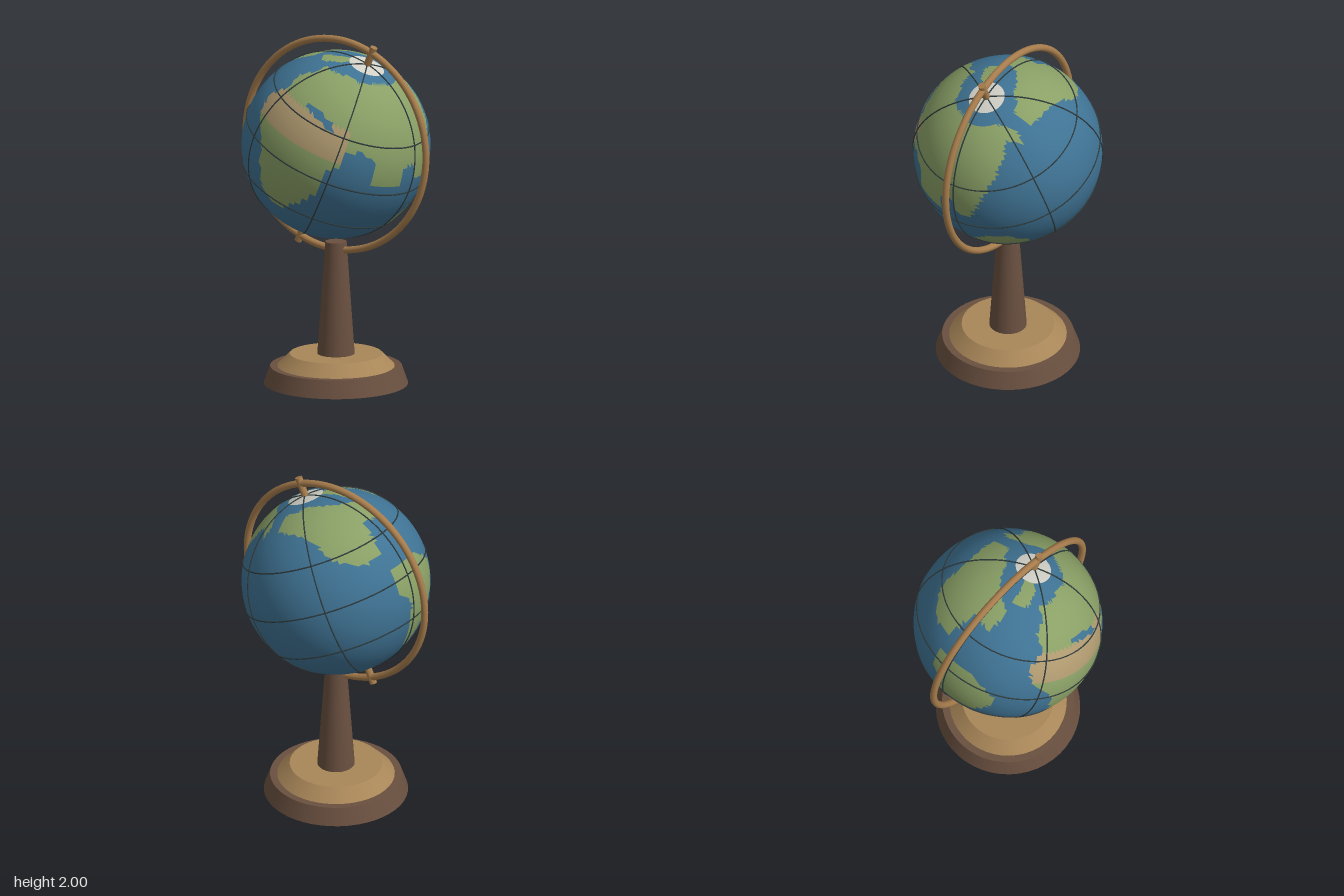
import * as THREE from 'three';

const R = 0.53, CENTER_Y = 1.375, TILT = THREE.MathUtils.degToRad(23.4);

// Coast outlines as [longitude, latitude] in degrees; longitude 0 faces the front, +90 faces +x
const AFRICA = [[-38, 15], [-41, 27], [-33, 36], [-8, 37], [20, 31], [34, 31], [34, 14], [26, 8], [27, -7],
  [16, -24], [5, -34], [-3, -34], [-13, -26], [-18, -9], [-22, 3], [-30, 8]];
const EURASIA = [[-33, 36], [-39, 47], [-33, 58], [-37, 64], [-12, 67], [5, 71], [25, 69], [55, 72], [90, 71],
  [125, 71], [150, 68], [160, 60], [157, 52], [143, 58], [131, 46], [121, 36], [112, 26], [101, 9], [92, 8],
  [88, 20], [80, 16], [78, 5], [57, 5], [55, 21], [44, 25], [34, 22], [20, 32]];
const NORTH_AMERICA = [[-183, 57], [-183, 69], [-150, 72], [-140, 74], [-107, 66], [-84, 59], [-73, 54], [-80, 40],
  [-97, 42], [-101, 21], [-115, 18], [-135, 29], [-142, 42], [-157, 52]];
const SOUTH_AMERICA = [[-101, 9], [-78, 9], [-61, 0], [-55, -6], [-60, -20], [-70, -37], [-86, -54], [-95, -50],
  [-92, -19], [-102, -5]];
const GREENLAND = [[-75, 61], [-54, 63], [-42, 74], [-50, 81], [-78, 81], [-73, 70]];
const AUSTRALIA = [[93, -21], [101, -15], [110, -11], [121, -12], [132, -25], [129, -39], [117, -34], [95, -35]];
const INLAND_SEA = [[-9, 37], [-6, 40], [6, 39], [20, 35], [20, 31], [8, 34]];
const LANDS = [AFRICA, EURASIA, NORTH_AMERICA, SOUTH_AMERICA, GREENLAND, AUSTRALIA];

const COLORS = { ocean: 0x3f7394, land: 0x8aa066, desert: 0xb09a70, ice: 0xcfcfc6 };

const material = (color) => new THREE.MeshStandardMaterial({ color });

function part(name, geometry, mat) {
  const mesh = new THREE.Mesh(geometry, mat);
  mesh.name = name;
  return mesh;
}

function inside(poly, x, y) {
  let hit = false;
  for (let i = 0, j = poly.length - 1; i < poly.length; j = i++) {
    const [xi, yi] = poly[i], [xj, yj] = poly[j];
    if ((yi > y) !== (yj > y) && x < ((xj - xi) * (y - yi)) / (yj - yi) + xi) hit = !hit;
  }
  return hit;
}

// Which surface kind lies at a direction on the ball
function surfaceAt(dir) {
  const lat = THREE.MathUtils.radToDeg(Math.asin(dir.y));
  const lon = THREE.MathUtils.radToDeg(Math.atan2(dir.x, dir.z));
  if (lat > 78.7 || lat < -75.9) return 'ice';
  if (inside(INLAND_SEA, lon, lat)) return 'ocean';
  if (!LANDS.some((p) => inside(p, lon, lat) || inside(p, lon - 360, lat))) return 'ocean';
  return lat > 15 && lat < 35 && lon > -45 && lon < 34 ? 'desert' : 'land';
}

// Ball split into one mesh per surface kind, triangle by triangle
function createBall() {
  const ball = new THREE.Group();
  ball.name = 'ball';
  const sphere = new THREE.SphereGeometry(R, 96, 64);
  const pos = sphere.attributes.position, index = sphere.index;
  const faces = { ocean: [], land: [], desert: [], ice: [] };
  const p = new THREE.Vector3(), mid = new THREE.Vector3();
  for (let i = 0; i < index.count; i += 3) {
    const tri = [0, 1, 2].map((k) => index.getX(i + k));
    mid.set(0, 0, 0);
    tri.forEach((v) => mid.add(p.fromBufferAttribute(pos, v)));
    faces[surfaceAt(mid.normalize())].push(...tri);
  }
  for (const kind in faces) {
    const g = new THREE.BufferGeometry();
    g.setAttribute('position', pos);
    g.setAttribute('normal', sphere.attributes.normal);
    g.setIndex(faces[kind]);
    ball.add(part(kind, g, material(COLORS[kind])));
  }
  return ball;
}

// Thin raised meridians and parallels
function createGridLines() {
  const lines = new THREE.Group();
  lines.name = 'gridLines';
  const mat = material(0x2f3b3d), r = R + 0.002, tube = 0.004;
  for (let i = 0; i < 3; i++) {
    const meridian = part('meridian', new THREE.TorusGeometry(r, tube, 6, 96), mat);
    meridian.rotation.y = (i * Math.PI) / 3;
    lines.add(meridian);
  }
  for (const deg of [-30, 0, 30]) {
    const a = THREE.MathUtils.degToRad(deg);
    const parallel = part('parallel', new THREE.TorusGeometry(r * Math.cos(a), tube, 6, 96), mat);
    parallel.rotation.x = Math.PI / 2;
    parallel.position.y = r * Math.sin(a);
    lines.add(parallel);
  }
  return lines;
}

export function createModel() {
  const model = new THREE.Group();
  model.name = 'deskGlobe';
  const wood = material(0x6a5040), brass = material(0xa67c4c), trim = material(0xa88658);

  // Stepped base and tapered stem
  const turned = (name, top, bottom, y0, y1, mat) => {
    const mesh = part(name, new THREE.CylinderGeometry(top, bottom, y1 - y0, 48), mat);
    mesh.position.y = (y0 + y1) / 2;
    model.add(mesh);
  };
  turned('base', 0.37, 0.405, 0, 0.1, wood);
  turned('baseStep', 0.26, 0.33, 0.1, 0.17, trim);
  turned('stem', 0.06, 0.105, 0.17, 0.815, wood);

  // Upright ring around the ball
  const ring = part('ring', new THREE.TorusGeometry(0.605, 0.02, 16, 96), brass);
  ring.position.y = CENTER_Y;
  model.add(ring);

  // Tilted ball with its two axle pins
  const tilted = new THREE.Group();
  tilted.name = 'tiltedBall';
  tilted.position.y = CENTER_Y;
  tilted.rotation.z = -TILT;
  tilted.add(createBall(), createGridLines());
  for (const side of [1, -1]) {
    const pin = part(side > 0 ? 'topPin' : 'bottomPin', new THREE.CylinderGeometry(0.021, 0.021, 0.13, 20), brass);
    pin.position.y = side * 0.578;
    tilted.add(pin);
  }
  model.add(tilted);
  return model;
}
